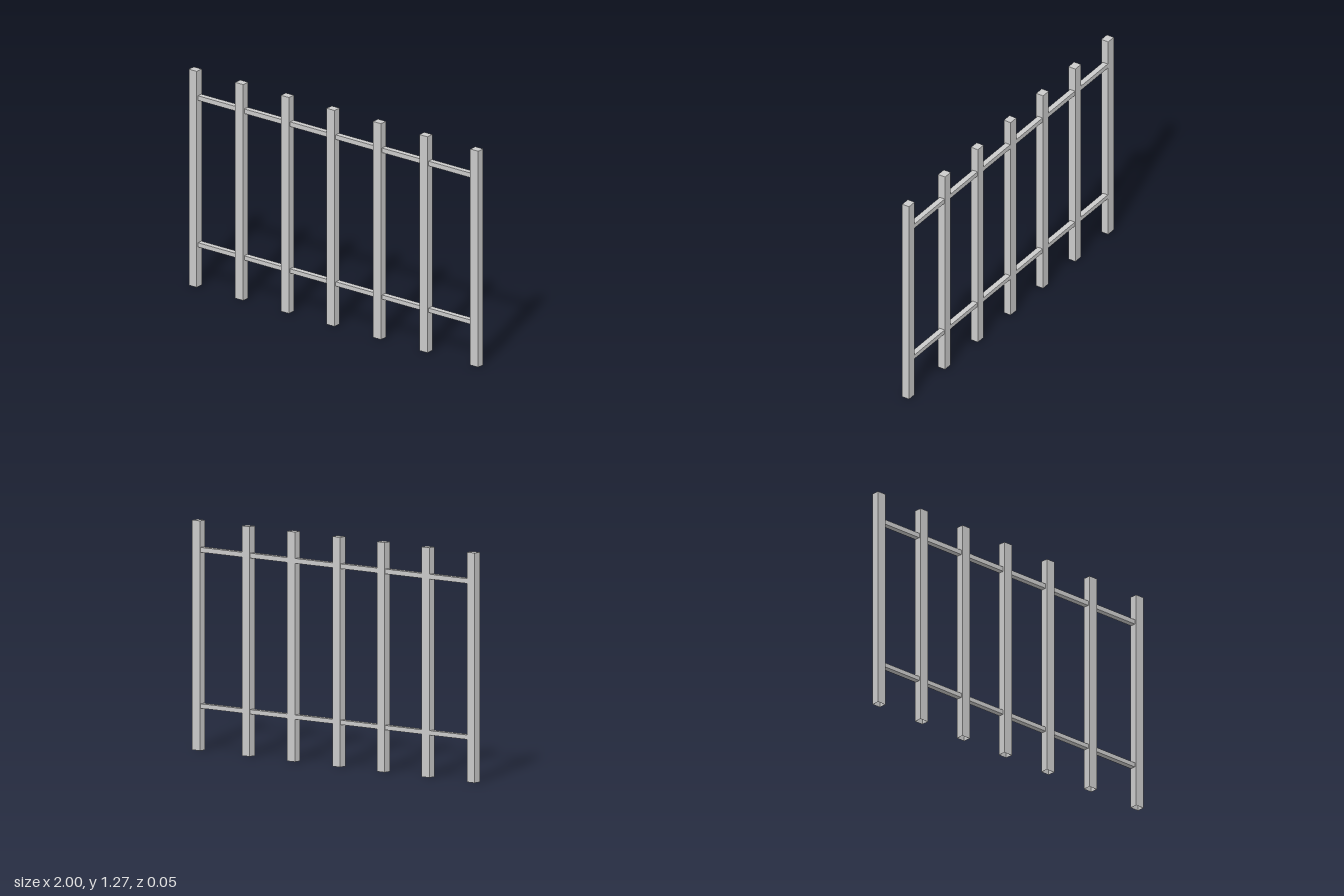
import * as THREE from 'three';

const HEIGHT = 1.27, POST_W = 0.055, POST_D = 0.045;

// Box without its underside, standing on y = 0
function postGeometry() {
  const g = new THREE.BoxGeometry(POST_W, HEIGHT, POST_D);
  const index = Array.from(g.index.array);
  index.splice(18, 6);
  g.setIndex(index);
  g.clearGroups();
  return g.translate(0, HEIGHT / 2, 0);
}

export function createModel() {
  const fence = new THREE.Group();
  fence.name = 'fence';
  const material = new THREE.MeshStandardMaterial({
    color: 0xcccccc, flatShading: true, side: THREE.DoubleSide,
  });

  // Upright posts, the end bays slightly wider
  const post = postGeometry();
  [-0.9725, -0.652, -0.336, -0.02, 0.3, 0.621, 0.9725].forEach((x, i) => {
    const mesh = new THREE.Mesh(post, material);
    mesh.name = `post${i + 1}`;
    mesh.position.x = x;
    fence.add(mesh);
  });

  // Horizontal rails, set a little towards the back
  for (const [name, y, h] of [['upperRail', 1.11, 0.027], ['lowerRail', 0.247, 0.025]]) {
    const rail = new THREE.Mesh(new THREE.BoxGeometry(1.89, h, 0.032), material);
    rail.name = name;
    rail.position.set(0, y, -0.004);
    fence.add(rail);
  }
  return fence;
}
